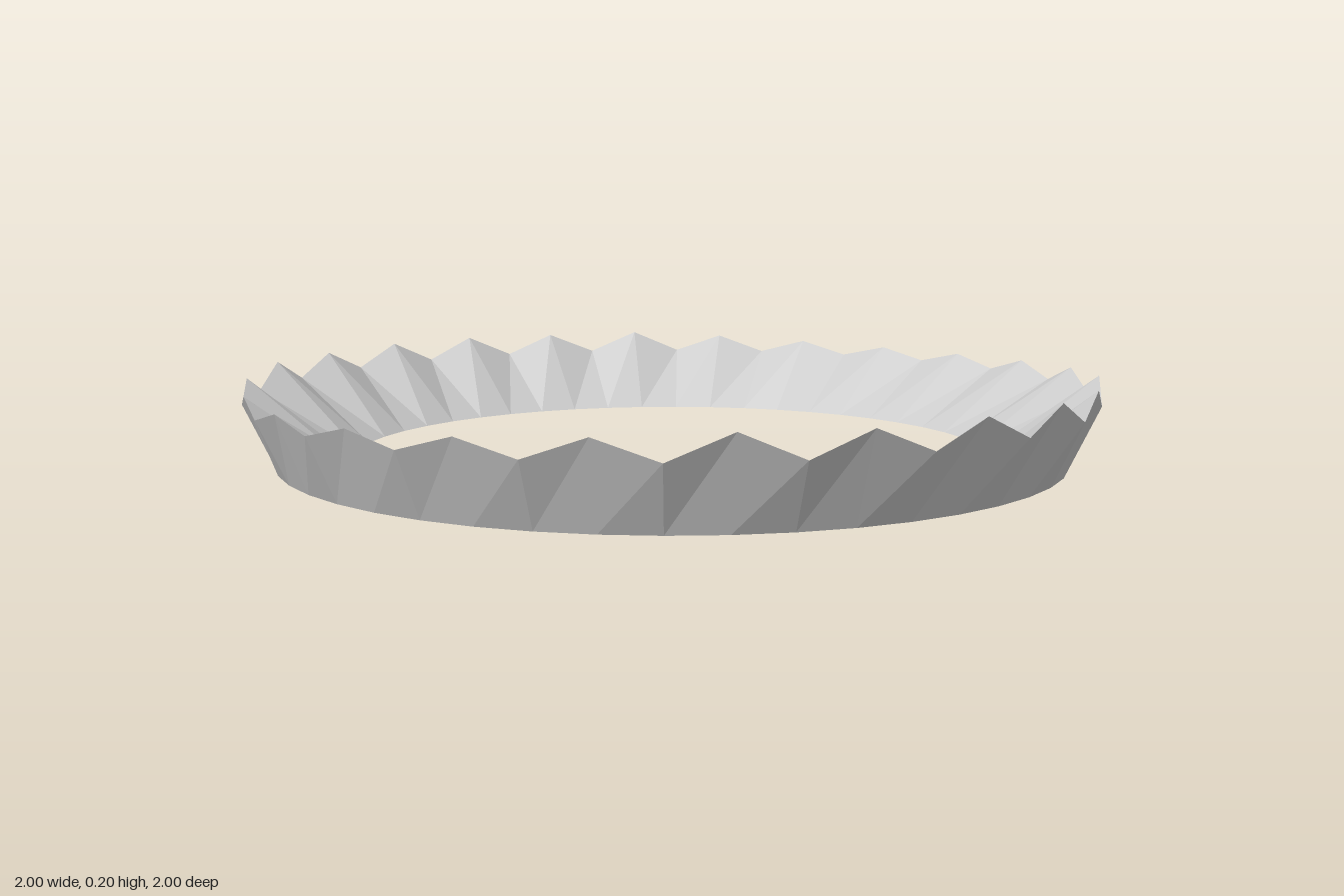
import * as THREE from 'three';

const TEETH = 24;
const STEPS = TEETH * 2;
const INNER_R = 0.767, BASE_R = 0.933, RIM_R = 1;
const VALLEY_Y = 0.145;
// tooth heights over a quarter turn, from the z axis to the x axis
const PEAK_Y = [0.2, 0.197, 0.2, 0.19, 0.18, 0.174];

// rim height at step i: valleys on even steps, mirrored peaks on odd steps
function rimHeight(i) {
  const s = i % STEPS;
  if (s % 2 === 0) return VALLEY_Y;
  const k = ((s - 1) / 2) % 12;
  return PEAK_Y[k < 6 ? k : 11 - k];
}

function ringPoint(i, radius, y) {
  const a = (i / STEPS) * Math.PI * 2;
  return [Math.sin(a) * radius, y, Math.cos(a) * radius];
}

// triangular cross-section swept round: outer wall, inner slope, flat base
function serratedRing() {
  const positions = [];
  const quad = (a, b, c, d) => positions.push(...a, ...b, ...c, ...a, ...c, ...d);
  for (let i = 0; i < STEPS; i++) {
    const [s0, s1] = [i, i + 1].map((j) => ({
      inner: ringPoint(j, INNER_R, 0),
      base: ringPoint(j, BASE_R, 0),
      rim: ringPoint(j, RIM_R, rimHeight(j)),
    }));
    quad(s0.base, s1.base, s1.rim, s0.rim);
    quad(s0.rim, s1.rim, s1.inner, s0.inner);
    quad(s0.inner, s1.inner, s1.base, s0.base);
  }
  const geometry = new THREE.BufferGeometry();
  geometry.setAttribute('position', new THREE.Float32BufferAttribute(positions, 3));
  geometry.computeVertexNormals();
  return geometry;
}

export function createModel() {
  const group = new THREE.Group();
  group.name = 'serratedCrownRing';
  const material = new THREE.MeshStandardMaterial({ color: 0xcccccc, flatShading: true });
  const ring = new THREE.Mesh(serratedRing(), material);
  ring.name = 'toothedRing';
  group.add(ring);
  return group;
}
